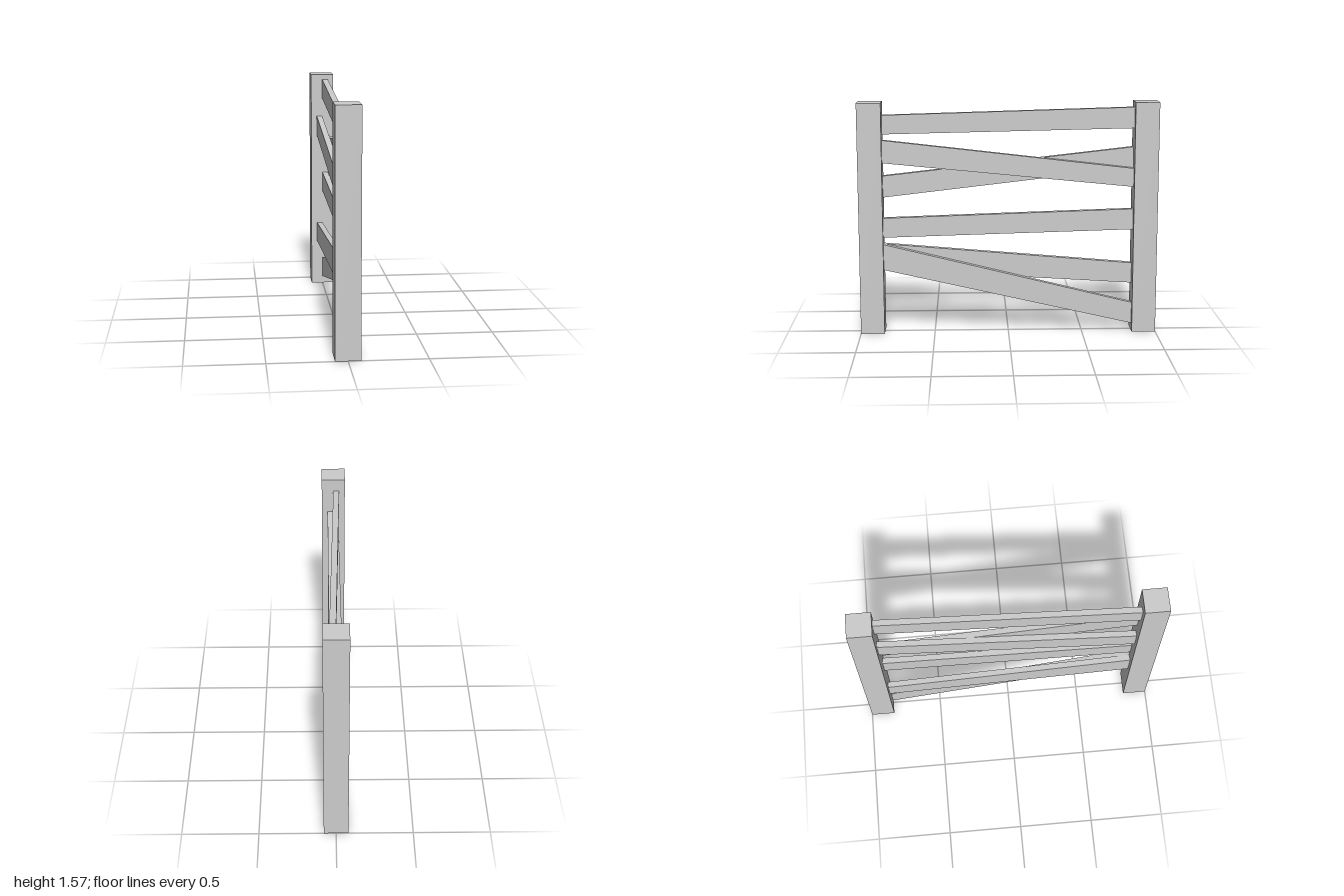
import * as THREE from 'three';

const material = new THREE.MeshStandardMaterial({ color: 0xcccccc, flatShading: true });
const HEIGHT = 1.565, POST = 0.16, INNER = 0.84, THICK = 0.04;

// Square post standing on the ground
function post(name, z) {
  const mesh = new THREE.Mesh(new THREE.BoxGeometry(POST, HEIGHT, POST), material);
  mesh.name = name;
  mesh.position.set(0, HEIGHT / 2, z);
  return mesh;
}

// Slanted board: each end is [centre x, bottom y, top y]
function rail(name, front, back) {
  const geo = new THREE.BoxGeometry(THICK, 1, 2 * INNER);
  const p = geo.attributes.position;
  for (let i = 0; i < p.count; i++) {
    const [x, bottom, top] = p.getZ(i) > 0 ? front : back;
    p.setX(i, p.getX(i) + x);
    p.setY(i, p.getY(i) > 0 ? top : bottom);
  }
  geo.computeVertexNormals();
  const mesh = new THREE.Mesh(geo, material);
  mesh.name = name;
  return mesh;
}

export function createModel() {
  const group = new THREE.Group();
  group.name = 'fenceSection';
  group.add(post('frontPost', 1 - POST / 2), post('backPost', -1 + POST / 2));

  // Boards nailed on either side of the centre line; the top one crosses it
  const L = THICK / 2, R = -THICK / 2;
  const rails = [
    ['topRail', [R, 1.35, 1.477], [L, 1.39, 1.53]],
    ['upperFallingRail', [L, 1.163, 1.315], [L, 0.995, 1.12]],
    ['upperRisingRail', [R, 0.925, 1.07], [R, 1.12, 1.26]],
    ['middleRail', [L, 0.658, 0.79], [L, 0.705, 0.845]],
    ['lowerRail', [R, 0.43, 0.607], [R, 0.325, 0.463]],
    ['bottomRail', [L, 0.435, 0.61], [L, 0.05, 0.195]],
  ];
  for (const [name, front, back] of rails) group.add(rail(name, front, back));
  return group;
}
